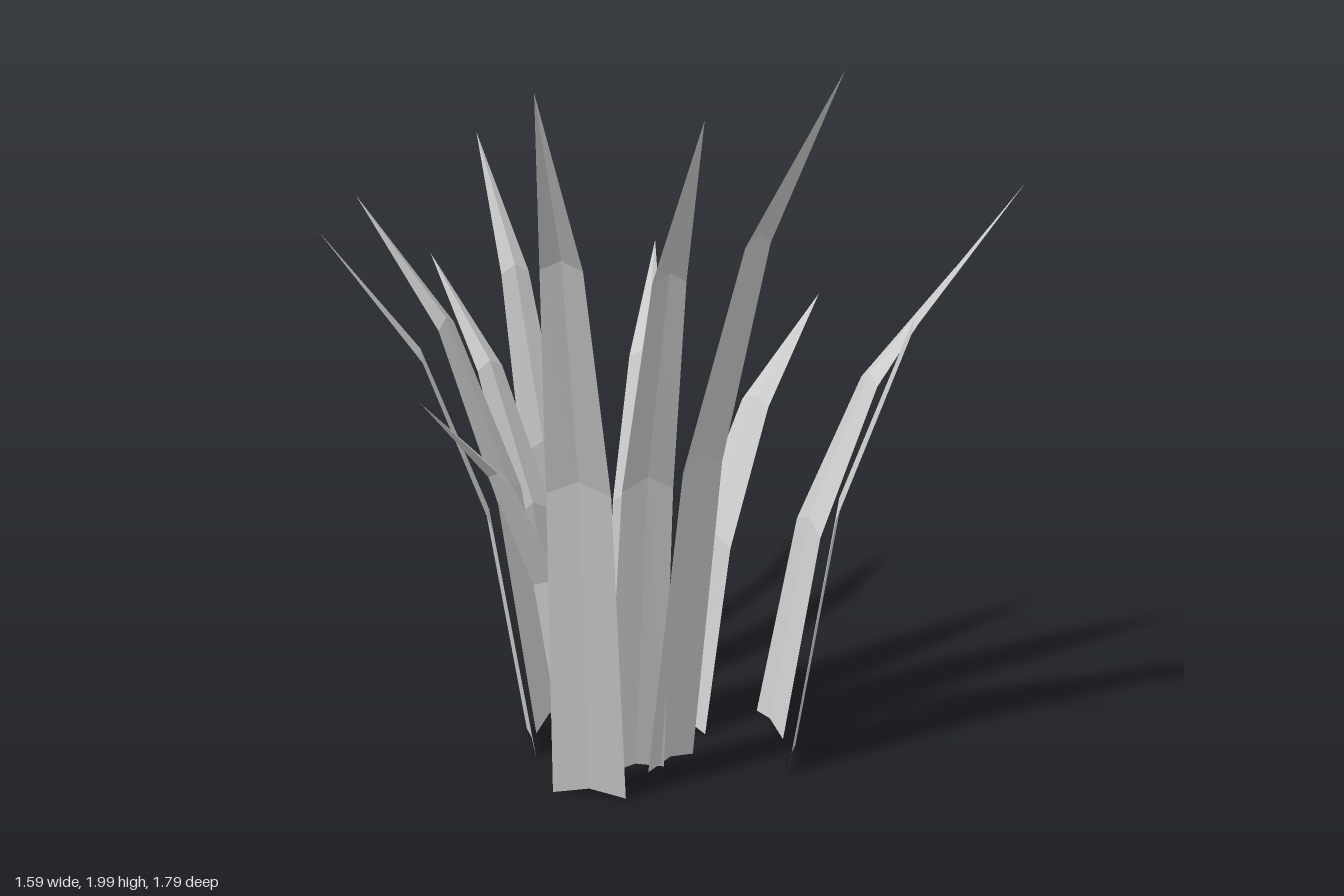
import * as THREE from 'three';

// Each blade: base centre x, z, tip x, height, z, base width
const BLADES = [
  [-0.09, -0.245, -0.31, 1.5, -0.765, 0.19],
  [0.0, -0.29, 0.05, 1.255, -0.87, 0.17],
  [0.08, -0.365, 0.27, 1.58, -0.9, 0.165],
  [0.225, -0.2, 0.655, 1.245, -0.53, 0.19],
  [0.16, 0.043, 0.68, 1.185, 0.09, 0.2],
  [0.325, 0.235, 0.795, 1.31, 0.48, 0.2],
  [0.197, 0.423, 0.5, 1.65, 0.89, 0.185],
  [-0.05, 0.195, -0.088, 1.99, 0.77, 0.17],
  [-0.15, 0.155, -0.432, 1.9, 0.64, 0.165],
  [-0.343, 0.168, -0.795, 1.985, 0.46, 0.2],
  [-0.178, -0.018, -0.7, 1.135, -0.065, 0.195],
  [-0.231, -0.172, -0.665, 1.5, -0.485, 0.19],
];

// Rows up a blade: height share, outward share, width share, rise of the midrib
const ROWS = [
  [0, 0, 1, 0.02],
  [0.45, 0.2, 0.84, 0.035],
  [0.765, 0.525, 0.53, 0.025],
  [1, 1, 0, 0],
];

// Folded leaf: three points per row, narrowing to a pointed tip
function bladeGeometry([bx, bz, tx, height, tz, width]) {
  const out = new THREE.Vector3(tx - bx, 0, tz - bz);
  const side = new THREE.Vector3(-out.z, 0, out.x).normalize();
  const positions = [];
  const index = [];
  ROWS.forEach(([h, o, w, rise], r) => {
    for (const s of [-1, 0, 1]) {
      const p = new THREE.Vector3(bx, h * height + (s === 0 ? rise : 0), bz)
        .addScaledVector(out, o)
        .addScaledVector(side, s * w * width / 2);
      positions.push(p.x, p.y, p.z);
    }
    if (r === 0) return;
    for (let c = 0; c < 2; c++) {
      const a = (r - 1) * 3 + c;
      const b = r * 3 + c;
      index.push(a, a + 1, b + 1);
      if (w > 0) index.push(a, b + 1, b);
    }
  });
  const geometry = new THREE.BufferGeometry();
  geometry.setAttribute('position', new THREE.Float32BufferAttribute(positions, 3));
  geometry.setIndex(index);
  const flat = geometry.toNonIndexed();
  flat.computeVertexNormals();
  return flat;
}

export function createModel() {
  const group = new THREE.Group();
  group.name = 'grassTuft';
  const grey = new THREE.MeshStandardMaterial({ color: 0xcccccc, side: THREE.DoubleSide, flatShading: true });
  grey.name = 'leafGrey';
  BLADES.forEach((blade, i) => {
    const mesh = new THREE.Mesh(bladeGeometry(blade), grey);
    mesh.name = `grassBlade${i + 1}`;
    group.add(mesh);
  });
  return group;
}
